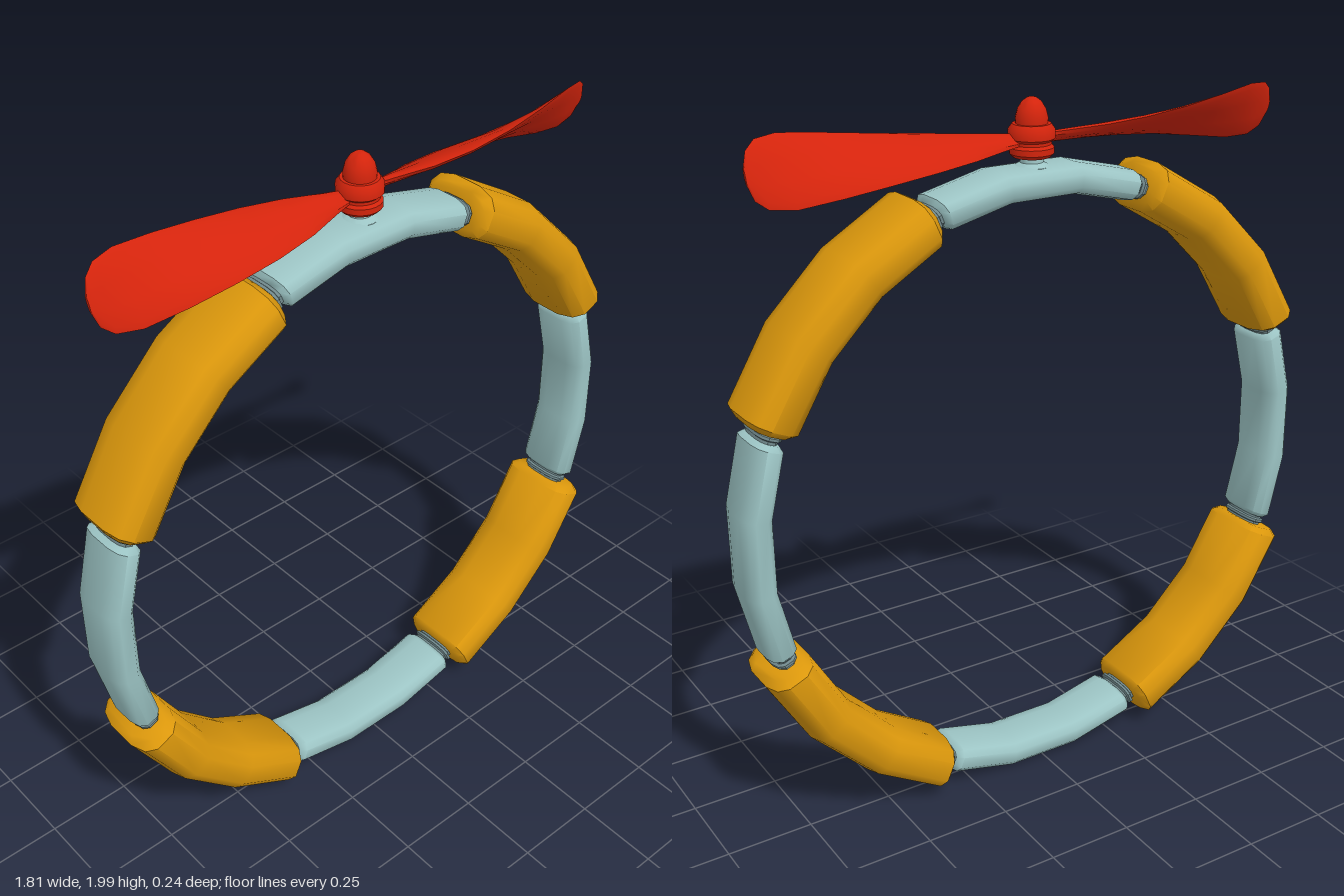
import * as THREE from 'three';
import { toCreasedNormals } from 'three/addons/utils/BufferGeometryUtils.js';

const CENTER_Y = 0.915;
const RAD = Math.PI / 180;

const mat = (name, color) => Object.assign(new THREE.MeshStandardMaterial({ color }), { name });

// Closed skin through cross-sections that all have the same number of points
function loft(rings, crease) {
  const n = rings[0].length, pos = [], idx = [];
  rings.forEach(r => r.forEach(p => pos.push(p.x, p.y, p.z)));
  for (let i = 0; i < rings.length - 1; i++) {
    for (let j = 0; j < n; j++) {
      const k = (j + 1) % n;
      const a = i * n + j, b = i * n + k, c = a + n, d = b + n;
      idx.push(a, b, d, a, d, c);
    }
  }
  const last = (rings.length - 1) * n;
  for (let j = 1; j < n - 1; j++) {
    idx.push(0, j + 1, j);
    idx.push(last, last + j, last + j + 1);
  }
  const g = new THREE.BufferGeometry();
  g.setAttribute('position', new THREE.Float32BufferAttribute(pos, 3));
  g.setIndex(idx);
  return toCreasedNormals(g, crease);
}

// Rounded-box section of the hoop at an angle measured clockwise from the top
function hoopSection(deg, radius, halfThick, halfWide) {
  const a = deg * RAD, ring = [];
  const soft = v => Math.sign(v) * Math.abs(v) ** 0.7;
  for (let j = 0; j < 12; j++) {
    const f = (15 + 30 * j) * RAD;
    const r = radius + soft(Math.cos(f)) * halfThick;
    ring.push(new THREE.Vector3(Math.sin(a) * r, CENTER_Y + Math.cos(a) * r, soft(Math.sin(f)) * halfWide));
  }
  return ring;
}

// Three straight lengths with bevelled ends
function hoopPiece(mid, half, radius, thick, wide, bevelDeg, inset) {
  const rows = [[-half, inset], [-half + bevelDeg, 0], [-7.2, 0], [7.2, 0], [half - bevelDeg, 0], [half, inset]];
  return loft(rows.map(([d, s]) => hoopSection(mid + d, radius, thick - s, wide - s)), 0.85);
}

export function createModel() {
  const model = new THREE.Group();
  model.name = 'propellerHoop';
  const blue = mat('paleBlue', 0x9cc4c4);
  const gold = mat('gold', 0xdc980c);
  const grey = mat('jointGrey', 0x71898c);
  const red = mat('red', 0xd4240c);
  const add = (name, geometry, material, parent = model) => {
    const m = new THREE.Mesh(geometry, material);
    m.name = name;
    parent.add(m);
    return m;
  };

  // Hoop: slim pieces alternate with thick grips
  for (let q = 0; q < 4; q++) {
    add('slimSegment', hoopPiece(q * 90, 20.7, 0.87, 0.044, 0.088, 0.9, 0.014), blue);
    add('gripSegment', hoopPiece(q * 90 + 45, 22.4, 0.882, 0.073, 0.124, 1.1, 0.02), gold);
    // Ridged necks in the gaps
    for (const s of [-1, 1]) {
      const rows = [[-2, 0], [-0.5, 0], [-0.25, 0.008], [0.25, 0.008], [0.5, 0], [2, 0]];
      add('neckJoint', loft(rows.map(([d, e]) =>
        hoopSection(q * 90 + s * 21.7 + d, 0.872, 0.028 + e, 0.066 + e)), 0.6), grey);
    }
  }

  const lathe = pts => toCreasedNormals(
    new THREE.LatheGeometry(pts.map(([x, y]) => new THREE.Vector2(x, y)), 20), 0.7);

  // Post under the propeller
  add('propellerPost', lathe([[0, 1.79], [0.055, 1.79], [0.05, 1.818], [0.032, 1.828], [0.03, 1.85], [0, 1.85]]), blue);

  // Hub with a grooved collar and a domed cap
  const propeller = new THREE.Group();
  propeller.name = 'propeller';
  model.add(propeller);
  add('hub', lathe([[0, 1.842], [0.05, 1.842], [0.06, 1.852], [0.06, 1.868], [0.053, 1.876],
    [0.053, 1.884], [0.063, 1.892], [0.063, 1.915], [0.052, 1.93], [0, 1.93]]), red, propeller);
  add('hubCap', lathe([[0, 1.925], [0.043, 1.925], [0.044, 1.945], [0.038, 1.968], [0.026, 1.987],
    [0.012, 1.997], [0, 2]]), red, propeller);

  // Twisted blade: distance out, half height, half depth, half thickness
  const rows = [
    [0.03, 0.012, 0.012, 0.012], [0.1, 0.017, 0.03, 0.013], [0.2, 0.025, 0.06, 0.014],
    [0.32, 0.036, 0.078, 0.014], [0.45, 0.051, 0.08, 0.013], [0.58, 0.069, 0.07, 0.012],
    [0.7, 0.085, 0.052, 0.01], [0.765, 0.08, 0.034, 0.008], [0.795, 0.057, 0.02, 0.007],
    [0.808, 0.02, 0.008, 0.005],
  ];
  const blade = loft(rows.map(([x, dy, dz, t]) => {
    const len = Math.hypot(dy, dz), ring = [];
    for (let j = 0; j < 10; j++) {
      const c = Math.cos(j * 36 * RAD), s = Math.sin(j * 36 * RAD) * t / len;
      ring.push(new THREE.Vector3(x, c * dy - s * dz, c * dz + s * dy));
    }
    return ring;
  }), 1.1);
  for (const [name, turn] of [['leftBlade', 0], ['rightBlade', Math.PI]]) {
    const b = add(name, blade, red, propeller);
    b.position.y = 1.889;
    b.rotation.y = turn;
  }
  return model;
}
